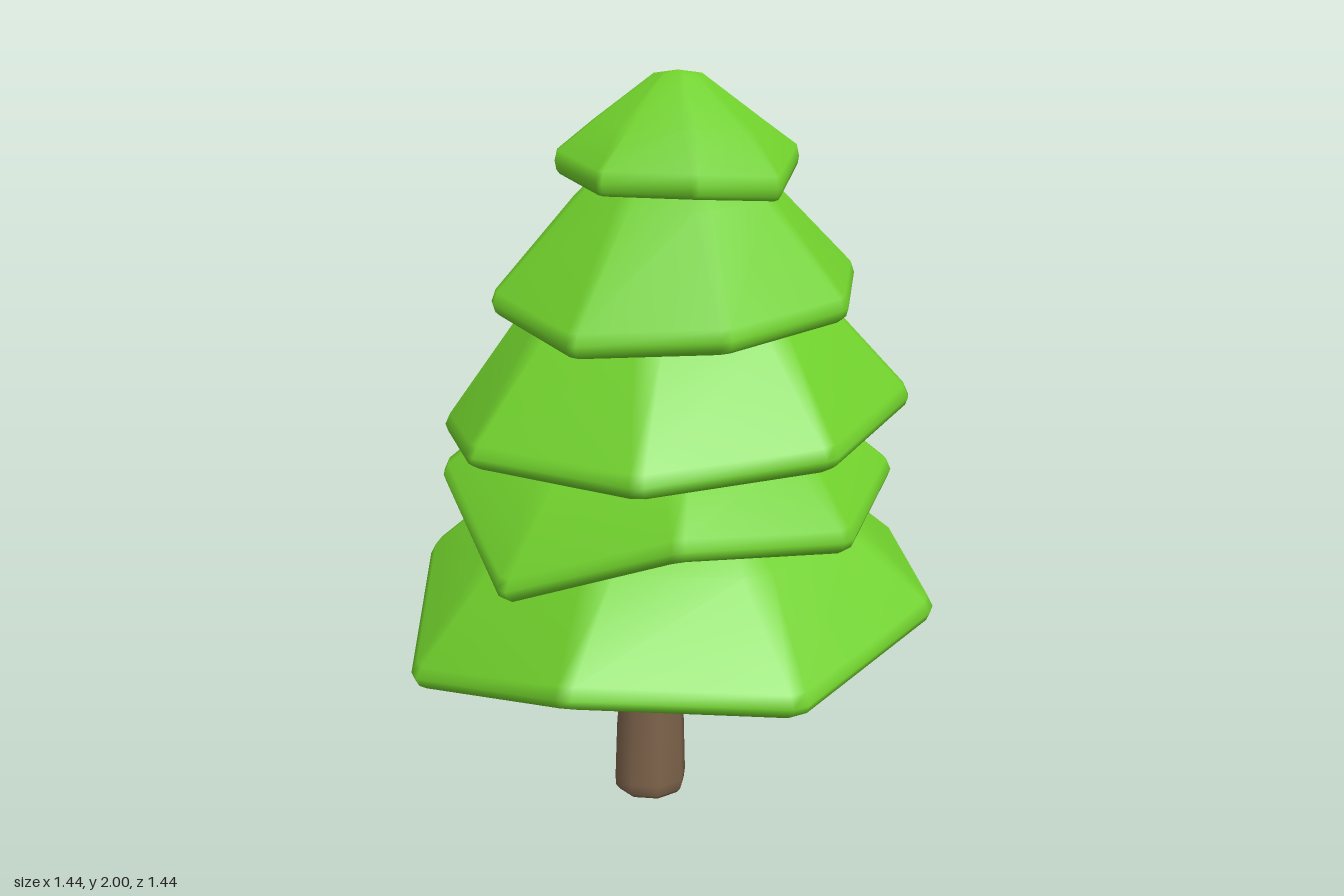
import * as THREE from 'three';

const leafMaterial = new THREE.MeshStandardMaterial({ color: 0x70d02c });
const barkMaterial = new THREE.MeshStandardMaterial({ color: 0x7d634b });

// Smooth closed skin through equal-sized rings; the first and last ring shrink to points
function loft(rings, material, name) {
  const n = rings[0].length;
  const index = [];
  for (let i = 0; i < rings.length - 1; i++) {
    for (let j = 0; j < n; j++) {
      const a = i * n + j, b = i * n + ((j + 1) % n), c = b + n, d = a + n;
      if (i > 0) index.push(a, d, b);
      if (i < rings.length - 2) index.push(b, d, c);
    }
  }
  const geometry = new THREE.BufferGeometry().setFromPoints(rings.flat());
  geometry.setIndex(index);
  geometry.computeVertexNormals();
  const mesh = new THREE.Mesh(geometry, material);
  mesh.name = name;
  return mesh;
}

// Regular eight-sided ring in the ground plane
function octagon(radius, startDegrees = 0) {
  return Array.from({ length: 8 }, (_, i) => {
    const a = THREE.MathUtils.degToRad(startDegrees + i * 45);
    return new THREE.Vector3(radius * Math.cos(a), 0, radius * Math.sin(a));
  });
}

// Replace every corner by two nearby points so the outline has softened corners
function softenCorners(corners, amount) {
  return corners.flatMap((p, i) => [
    p.clone().lerp(corners[(i + 7) % 8], amount),
    p.clone().lerp(corners[(i + 1) % 8], amount),
  ]);
}

// One skirt of foliage: an octagon whose corners droop to the given rim heights.
// shoulder and top are [share of the radius, height]; hollow is the height of the underside
function tier({ name, radius, start, x = 0, z = 0, heights, shoulder, top, hollow }) {
  const corners = octagon(radius, start);
  corners.forEach((p, i) => { p.y = heights[i]; });
  const rim = softenCorners(corners, 0.04);
  const softRim = softenCorners(corners, 0.11);
  const mean = heights.reduce((sum, h) => sum + h) / 8;
  // Rim rings follow the wavy edge, inner rings flatten out towards the axis
  const edge = (share, lift) =>
    rim.map((p) => new THREE.Vector3(x + p.x * share, p.y + lift, z + p.z * share));
  const inner = (share, y, wave = 0) => softRim.map((p) =>
    new THREE.Vector3(x + p.x * share, y + wave * (p.y - mean), z + p.z * share));
  return loft([
    inner(0, hollow + 0.03),
    inner(0.61, hollow, 0.1),
    edge(0.92, 0.03),
    edge(0.945, 0.003),
    edge(0.97, -0.005),
    edge(0.995, 0.005),
    edge(1.007, 0.025),
    edge(0.985, 0.055),
    inner(...shoulder, 0.45),
    inner(...top, 0.1),
    inner(0, top[1] + 0.01),
  ], leafMaterial, name);
}

const tiers = [
  {
    name: 'bottomFoliage', radius: 0.735, start: -11,
    heights: [0.64, 0.6, 0.495, 0.53, 0.435, 0.615, 0.75, 0.56],
    shoulder: [0.72, 0.82], top: [0.4, 0.95], hollow: 0.67,
  },
  {
    name: 'lowerFoliage', radius: 0.612, start: 12,
    heights: [0.92, 0.83, 0.865, 0.71, 0.92, 0.94, 0.985, 0.8],
    shoulder: [0.76, 1.07], top: [0.4, 1.18], hollow: 0.96,
  },
  {
    name: 'middleFoliage', radius: 0.632, start: 22, x: 0.01, z: 0.005,
    heights: [1.14, 1.06, 1.02, 1.04, 1.03, 1.12, 1.08, 1.16],
    shoulder: [0.69, 1.37], top: [0.4, 1.5], hollow: 1.25,
  },
  {
    name: 'upperFoliage', radius: 0.492, start: 1, x: 0.018, z: 0.026,
    heights: [1.45, 1.39, 1.34, 1.32, 1.39, 1.46, 1.52, 1.47],
    shoulder: [0.57, 1.69], top: [0.3, 1.81], hollow: 1.55,
  },
  {
    name: 'topFoliage', radius: 0.322, start: 7, x: 0.024, z: 0.008,
    heights: [1.76, 1.68, 1.69, 1.695, 1.745, 1.765, 1.76, 1.74],
    shoulder: [0.7, 1.868], top: [0.2, 1.985], hollow: 1.81,
  },
].map((t, i, all) => (i === all.length - 1 ? { ...t, top: [0.2, 1.99] } : t));

// Eight-sided trunk with a bevelled foot, leaning over near the top
function trunk() {
  const sections = [ // [centre x, height, radius]
    [-0.047, 0, 0], [-0.047, 0, 0.09], [-0.047, 0.012, 0.1], [-0.046, 0.04, 0.103],
    [-0.045, 0.2, 0.098], [-0.039, 0.36, 0.091], [-0.024, 0.5, 0.086],
    [0.005, 0.64, 0.084], [0.03, 0.78, 0.082], [0.03, 0.78, 0],
  ];
  const rings = sections.map(([x, y, radius]) =>
    octagon(radius).map((p) => p.add(new THREE.Vector3(x, y, -0.026))));
  return loft(rings, barkMaterial, 'trunk');
}

export function createModel() {
  const group = new THREE.Group();
  group.name = 'tree';
  group.add(trunk(), ...tiers.map(tier));
  return group;
}
